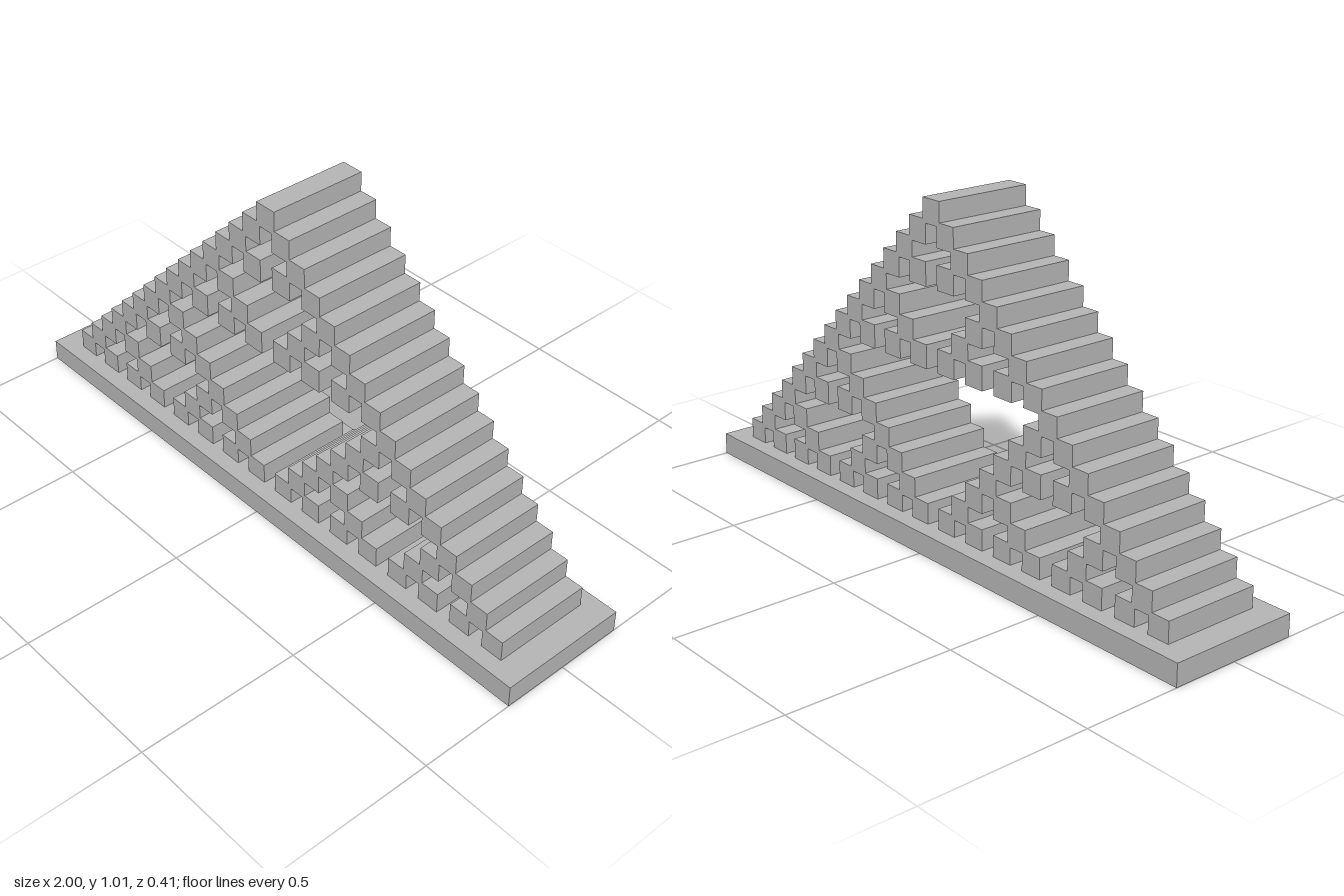
import * as THREE from 'three';

export function createModel() {
  const model = new THREE.Group();
  model.name = 'fractalTriangle';
  const grey = new THREE.MeshStandardMaterial({ color: 0xb3b3b3 });
  grey.name = 'grey';

  // Base slab
  const baseHeight = 0.067;
  const base = new THREE.Mesh(new THREE.BoxGeometry(2, baseHeight, 0.41), grey);
  base.name = 'base';
  base.position.y = baseHeight / 2;
  model.add(base);

  // Bars sit where Pascal's triangle is odd; neighbouring rows overlap slightly
  const rows = 16, pitch = 0.0589, size = 0.0707, top = 1.014;
  const barGeometry = new THREE.BoxGeometry(size, size, 0.307);
  for (let r = 0; r < rows; r++) {
    const row = new THREE.Group();
    row.name = `barRow${r + 1}`;
    row.position.y = top - size / 2 - r * pitch;
    for (let k = 0; k <= r; k++) {
      if ((r & k) !== k) continue;
      const bar = new THREE.Mesh(barGeometry, grey);
      bar.name = 'bar';
      bar.position.x = (2 * k - r) * pitch;
      row.add(bar);
    }
    model.add(row);
  }
  return model;
}
